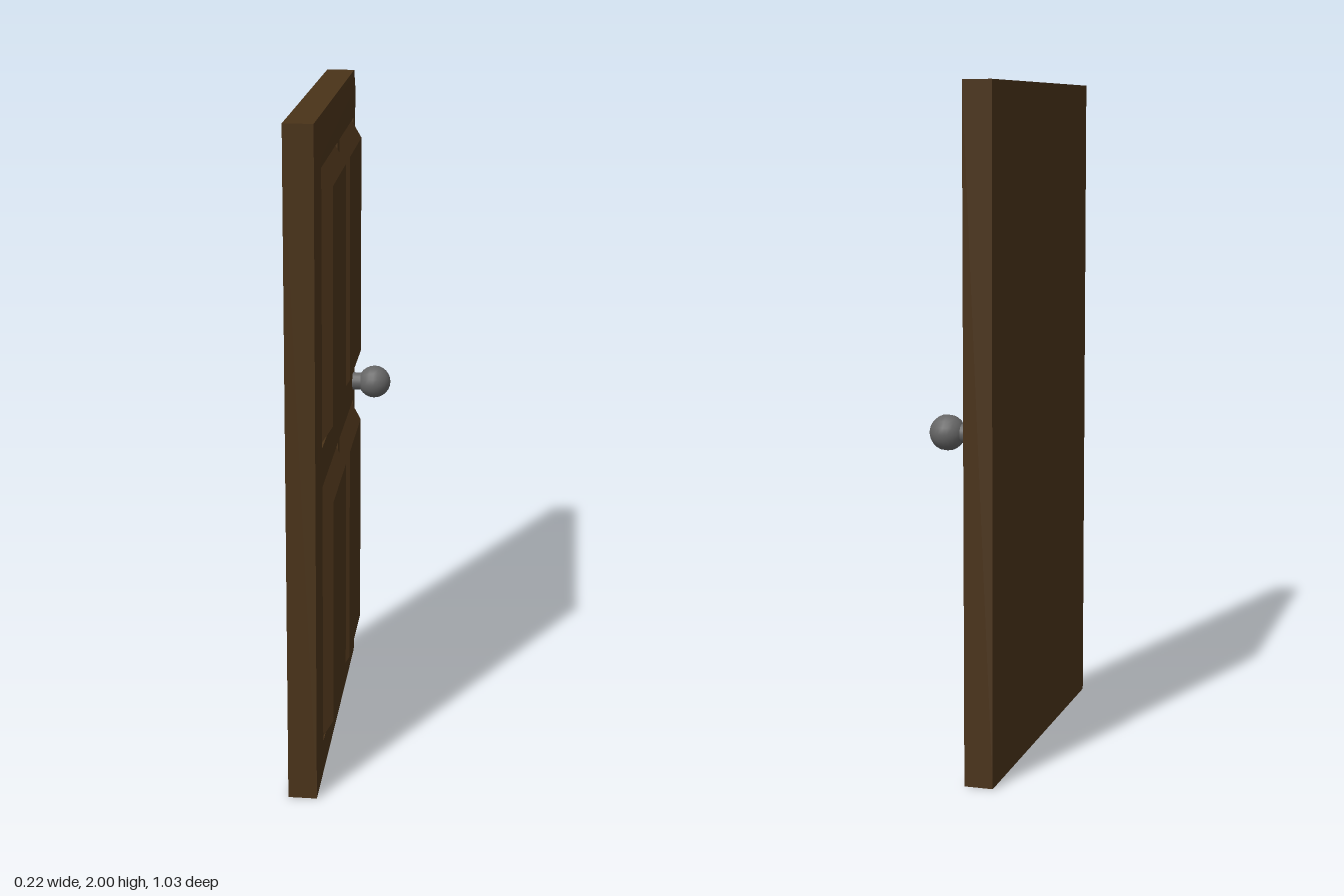
import * as THREE from 'three';
import { mergeGeometries, toCreasedNormals } from 'three/addons/utils/BufferGeometryUtils.js';

const BACK = -0.108, EDGE = -0.023, FACE = -0.015, GROOVE = -0.026, RAISED = 0.013;

// Rectangle corners, counter-clockwise as seen from +x
const corners = ([x, z0, z1, y0, y1]) => [[x, y0, z1], [x, y0, z0], [x, y1, z0], [x, y1, z1]];

// Walls through a list of rectangles, with optional end caps
function loft(rects, capStart = false, capEnd = false) {
  const pos = [];
  const quad = (a, b, c, d) => pos.push(...a, ...b, ...c, ...a, ...c, ...d);
  const rings = rects.map(corners);
  for (let r = 0; r < rings.length - 1; r++) {
    for (let i = 0; i < 4; i++) {
      const j = (i + 1) % 4;
      quad(rings[r][i], rings[r][j], rings[r + 1][j], rings[r + 1][i]);
    }
  }
  if (capStart) quad(...rings[0].slice().reverse());
  if (capEnd) quad(...rings[rings.length - 1]);
  const g = new THREE.BufferGeometry();
  g.setAttribute('position', new THREE.Float32BufferAttribute(pos, 3));
  g.computeVertexNormals();
  return g;
}

// Front sheet with rectangular openings
function frontSheet(outer, holes) {
  const points = (r) => corners(r).map(([, y, z]) => new THREE.Vector2(-z, y));
  const shape = new THREE.Shape(points(outer));
  shape.holes = holes.map((h) => new THREE.Path(points(h).reverse()));
  const g = new THREE.ShapeGeometry(shape).toNonIndexed();
  g.deleteAttribute('uv');
  return g.rotateY(Math.PI / 2).translate(outer[0], 0, 0);
}

export function createModel() {
  const door = new THREE.Group();
  door.name = 'door';
  const wood = new THREE.MeshStandardMaterial({ color: 0x4a3319 });
  const metal = new THREE.MeshStandardMaterial({ color: 0x666666 });
  const add = (name, geometry, material) => {
    const mesh = new THREE.Mesh(geometry, material);
    mesh.name = name;
    door.add(mesh);
    return mesh;
  };

  // Panel openings: two columns by two rows
  const openings = [];
  for (const [z0, z1] of [[0.027, 0.419], [-0.419, -0.027]]) {
    for (const [y0, y1] of [[0.138, 0.946], [1.064, 1.866]]) openings.push([z0, z1, y0, y1]);
  }

  // Slab: back, sides, softened front edge, face and groove walls
  const rim = [FACE, -0.47, 0.47, 0.045, 1.955];
  const slab = [
    loft([[BACK, -0.515, 0.515, 0, 2], [EDGE, -0.515, 0.515, 0, 2], rim], true),
    frontSheet(rim, openings.map((o) => [FACE, ...o])),
    ...openings.map((o) => loft([[FACE, ...o], [GROOVE, ...o]])),
  ];
  add('slab', toCreasedNormals(mergeGeometries(slab), 0.5), wood);

  // Raised panels with sloping borders
  for (const [z0, z1, y0, y1] of openings) {
    const top = [RAISED, z0 + 0.03, z1 - 0.03, y0 + 0.057, y1 - 0.057];
    add('raisedPanel', loft([[GROOVE, z0, z1, y0, y1], top], false, true), wood);
  }

  // Knob and its neck
  const neck = new THREE.CylinderGeometry(0.028, 0.028, 0.05, 16).rotateZ(-Math.PI / 2);
  add('knobNeck', neck, metal).position.set(0.005, 1.01, -0.416);
  const ball = new THREE.SphereGeometry(0.052, 16, 12).rotateZ(-Math.PI / 2);
  add('knob', ball, metal).position.set(0.055, 1.01, -0.416);

  return door;
}
